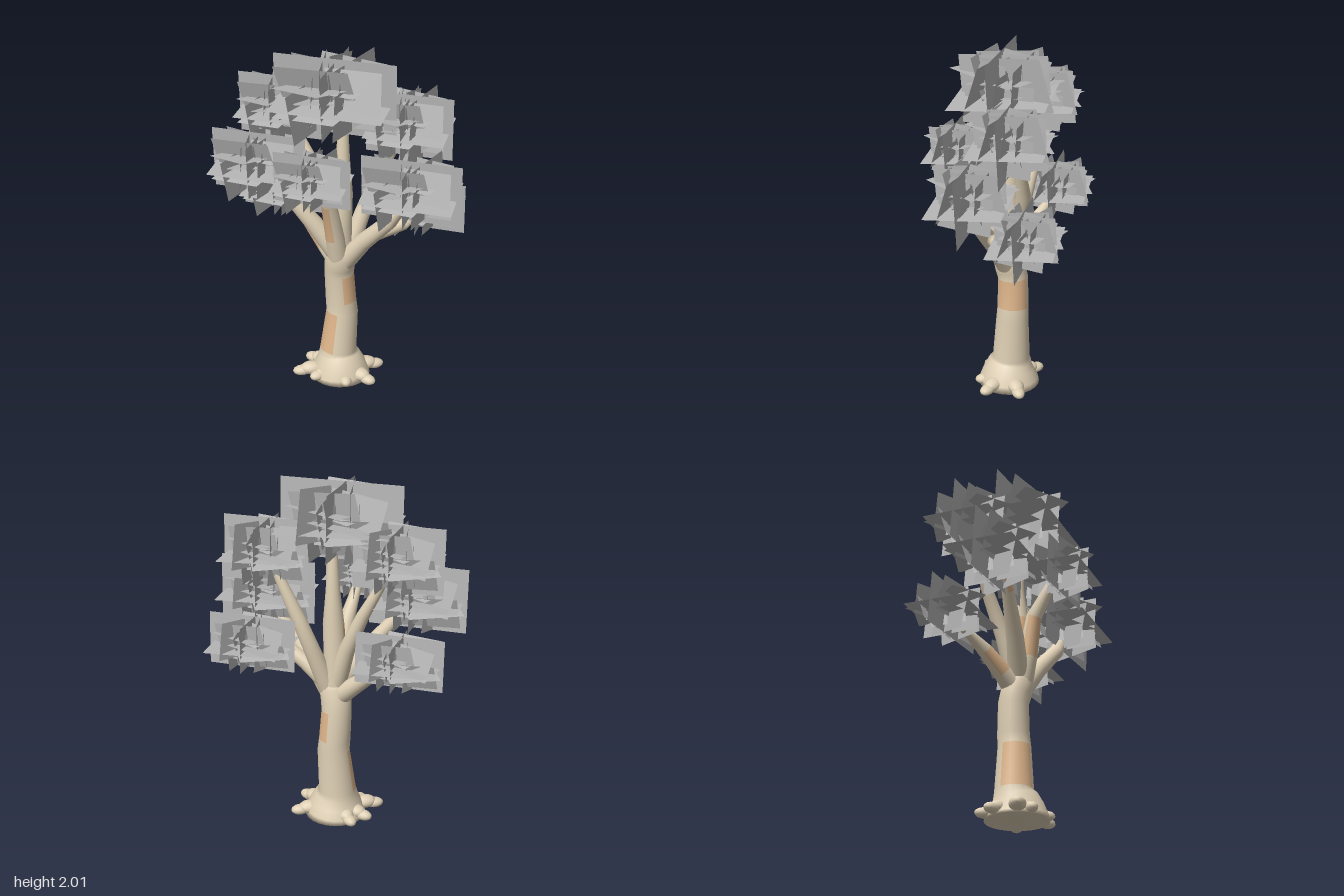
import * as THREE from 'three';

const bark = new THREE.MeshStandardMaterial({ color: 0xdfd0b5 });
bark.name = 'pale bark';
const patch = new THREE.MeshStandardMaterial({ color: 0xdfb68c });
patch.name = 'orange bark';
const leaf = new THREE.MeshStandardMaterial({ color: 0xb6b6b6, side: THREE.DoubleSide });
leaf.name = 'grey foliage';

const SIDES = 24;

// Tapered limb through [x, y, z, radius] sections.
// patches: [segment, fromTurn, toTurn], turn 0 = +x, 0.25 = +z
function limb(name, pts, patches = []) {
  const P = pts.map(p => new THREE.Vector3(p[0], p[1], p[2]));
  const pos = [], plain = [], painted = [];
  const zAxis = new THREE.Vector3(0, 0, 1);
  P.forEach((p, i) => {
    const t = P[Math.min(i + 1, P.length - 1)].clone().sub(P[Math.max(i - 1, 0)]).normalize();
    const u = t.clone().cross(zAxis).normalize();
    const v = u.clone().cross(t);
    for (let j = 0; j < SIDES; j++) {
      const a = j / SIDES * Math.PI * 2;
      const q = p.clone().addScaledVector(u, Math.cos(a) * pts[i][3]).addScaledVector(v, Math.sin(a) * pts[i][3]);
      pos.push(q.x, q.y, q.z);
    }
  });
  for (let i = 0; i < P.length - 1; i++) {
    for (let j = 0; j < SIDES; j++) {
      const mid = (j + 0.5) / SIDES;
      const hit = patches.some(([s, a, b]) => s === i && ((mid > a && mid < b) || (mid - 1 > a && mid - 1 < b)));
      const k = (j + 1) % SIDES;
      const a = i * SIDES + j, b = i * SIDES + k, c = a + SIDES, d = b + SIDES;
      (hit ? painted : plain).push(a, c, b, b, c, d);
    }
  }
  const g = new THREE.BufferGeometry();
  g.setAttribute('position', new THREE.Float32BufferAttribute(pos, 3));
  g.setIndex([...plain, ...painted]);
  g.addGroup(0, plain.length, 0);
  g.addGroup(plain.length, painted.length, 1);
  g.computeVertexNormals();
  const m = new THREE.Mesh(g, [bark, patch]);
  m.name = name;
  return m;
}

// Leaf cards inside a unit cube, shared by every cluster: crossing near the middle
function cardTemplate() {
  let seed = 29;
  const rnd = () => (seed = (seed * 16807) % 2147483647) / 2147483647;
  const range = r => (rnd() - 0.5) * 2 * r;
  const cards = [{ w: 1, h: 1, p: [0, 0, 0.02], r: [0.04, 0, 0] },
    { w: 0.8, h: 0.85, p: [0, 0.02, 0], r: [0.06, Math.PI / 2, 0] },
    { w: 0.9, h: 0.85, p: [0, -0.05, 0], r: [-Math.PI / 2 + 0.05, 0.04, 0.06] }];
  // facing front, side and up: [rx, ry, count, spread in x, y, z]
  const facings = [[0, 0, 8, 0.2, 0.16, 0.2], [0, Math.PI / 2, 8, 0.22, 0.16, 0.18], [-Math.PI / 2, 0, 5, 0.16, 0.2, 0.16]];
  for (const [rx, ry, count, dx, dy, dz] of facings) {
    for (let i = 0; i < count; i++) {
      cards.push({
        w: 0.45 + rnd() * 0.2, h: 0.5 + rnd() * 0.22,
        p: [range(dx), range(dy), range(dz)],
        r: [rx + range(0.25), ry + range(rx ? 0.22 : 0.45), range(rx ? 0.6 : 0.15)],
      });
    }
  }
  return cards;
}

export function createModel() {
  const tree = new THREE.Group();
  tree.name = 'tree';

  // Trunk with flared foot and rounded crotch
  tree.add(limb('trunk', [
    [-0.005, 0.0, -0.05, 0], [-0.005, 0.005, -0.05, 0.178], [-0.005, 0.035, -0.05, 0.172],
    [-0.01, 0.09, -0.05, 0.148], [-0.015, 0.14, -0.055, 0.122], [-0.02, 0.17, -0.06, 0.108],
    [0.0, 0.43, -0.07, 0.093], [-0.008, 0.5, -0.072, 0.09], [-0.018, 0.68, -0.068, 0.086],
    [-0.012, 0.74, -0.055, 0.088], [0, 0.81, -0.045, 0.088], [0, 0.86, -0.04, 0.07], [0, 0.9, -0.04, 0],
  ], [[5, 0.25, 0.54], [7, -0.22, 0.17]]));

  // Root knuckles around the foot
  [[-0.21, 0.06], [-0.19, -0.1], [-0.13, -0.18], [0.18, -0.15], [0.19, 0.03], [0.07, 0.08], [-0.1, 0.08]].forEach(([x, z]) => {
    const root = new THREE.Group();
    root.name = 'root';
    const dir = Math.atan2(z + 0.05, x);
    [[0, 0.046, 0.037], [-0.06, 0.06, 0.05]].forEach(([d, r, y]) => {
      const knuckle = new THREE.Mesh(new THREE.SphereGeometry(r, 14, 8), bark);
      knuckle.name = 'rootKnuckle';
      knuckle.scale.set(1.2, 0.65, 0.8);
      knuckle.position.set(x + Math.cos(dir) * d, y, z + Math.sin(dir) * d);
      knuckle.rotation.y = -dir;
      root.add(knuckle);
    });
    tree.add(root);
  });

  // Branches
  const branches = {
    centreBranch: [[[0, 0.76, -0.05, 0.075], [-0.005, 1.0, -0.05, 0.065], [0.005, 1.2, -0.05, 0.06],
      [0.005, 1.4, -0.06, 0.04], [0.01, 1.65, -0.05, 0.025], [0.01, 1.68, -0.05, 0]], [[1, 0.25, 0.55]]],
    frontBranch: [[[-0.005, 0.76, -0.03, 0.062], [-0.015, 0.95, 0.02, 0.054], [-0.035, 1.18, 0.07, 0.044],
      [-0.06, 1.36, 0.2, 0.025], [-0.06, 1.38, 0.21, 0]], [[1, 0.2, 0.55]]],
    leftMiddleBranch: [[[0.03, 0.78, -0.04, 0.06], [0.15, 0.94, 0, 0.05], [0.31, 1.11, 0.04, 0.042],
      [0.42, 1.28, 0.05, 0.025], [0.43, 1.3, 0.05, 0]], []],
    leftLowBranch: [[[0.03, 0.82, -0.05, 0.05], [0.17, 0.95, -0.06, 0.042], [0.3, 1.03, -0.04, 0.038],
      [0.36, 1.05, -0.07, 0.034], [0.42, 1.08, -0.2, 0.02], [0.425, 1.085, -0.21, 0]], []],
    leftUpperBranch: [[[0.03, 0.8, -0.06, 0.055], [0.1, 1.05, -0.13, 0.046], [0.17, 1.26, -0.17, 0.04],
      [0.32, 1.58, -0.17, 0.022], [0.33, 1.6, -0.17, 0]], []],
    rightMiddleBranch: [[[-0.03, 0.84, -0.03, 0.06], [-0.15, 1.02, 0.01, 0.05], [-0.31, 1.22, 0.05, 0.035],
      [-0.43, 1.36, 0.06, 0.022], [-0.44, 1.37, 0.06, 0]], [[2, 0.1, 0.4]]],
    rightLowBranch: [[[-0.03, 0.77, -0.06, 0.062], [-0.11, 0.84, -0.09, 0.052], [-0.22, 0.94, -0.14, 0.042],
      [-0.31, 1.0, -0.18, 0.028], [-0.42, 1.05, -0.22, 0.014], [-0.43, 1.055, -0.22, 0]], [[1, 0.05, 0.45]]],
    rightUpperBranch: [[[-0.02, 0.85, -0.06, 0.055], [-0.09, 1.08, -0.1, 0.045], [-0.19, 1.3, -0.14, 0.036],
      [-0.34, 1.58, -0.15, 0.02], [-0.35, 1.6, -0.15, 0]], []],
  };
  for (const [name, [pts, patches]] of Object.entries(branches)) tree.add(limb(name, pts, patches));

  // Foliage clusters: centre, then size
  const cards = cardTemplate();
  const clusters = {
    topFoliage: [-0.025, 1.785, -0.02, 0.69, 0.43, 0.62],
    rightUpperFoliage: [-0.38, 1.645, -0.14, 0.5, 0.36, 0.48],
    leftUpperFoliage: [0.36, 1.62, -0.14, 0.49, 0.36, 0.48],
    rightMiddleFoliage: [-0.445, 1.37, 0.05, 0.55, 0.36, 0.48],
    leftMiddleFoliage: [0.43, 1.32, 0.05, 0.56, 0.36, 0.48],
    frontFoliage: [-0.06, 1.405, 0.27, 0.43, 0.29, 0.38],
    rightLowFoliage: [-0.42, 1.1, -0.24, 0.49, 0.29, 0.42],
    leftLowFoliage: [0.42, 1.11, -0.24, 0.5, 0.3, 0.42],
  };
  for (const [name, [x, y, z, sx, sy, sz]] of Object.entries(clusters)) {
    const g = new THREE.Group();
    g.name = name;
    g.position.set(x, y, z);
    g.scale.set(sx, sy, sz);
    for (const c of cards) {
      const card = new THREE.Mesh(new THREE.PlaneGeometry(c.w, c.h), leaf);
      card.name = 'leafCard';
      card.position.set(...c.p);
      card.rotation.set(...c.r);
      g.add(card);
    }
    tree.add(g);
  }
  return tree;
}
